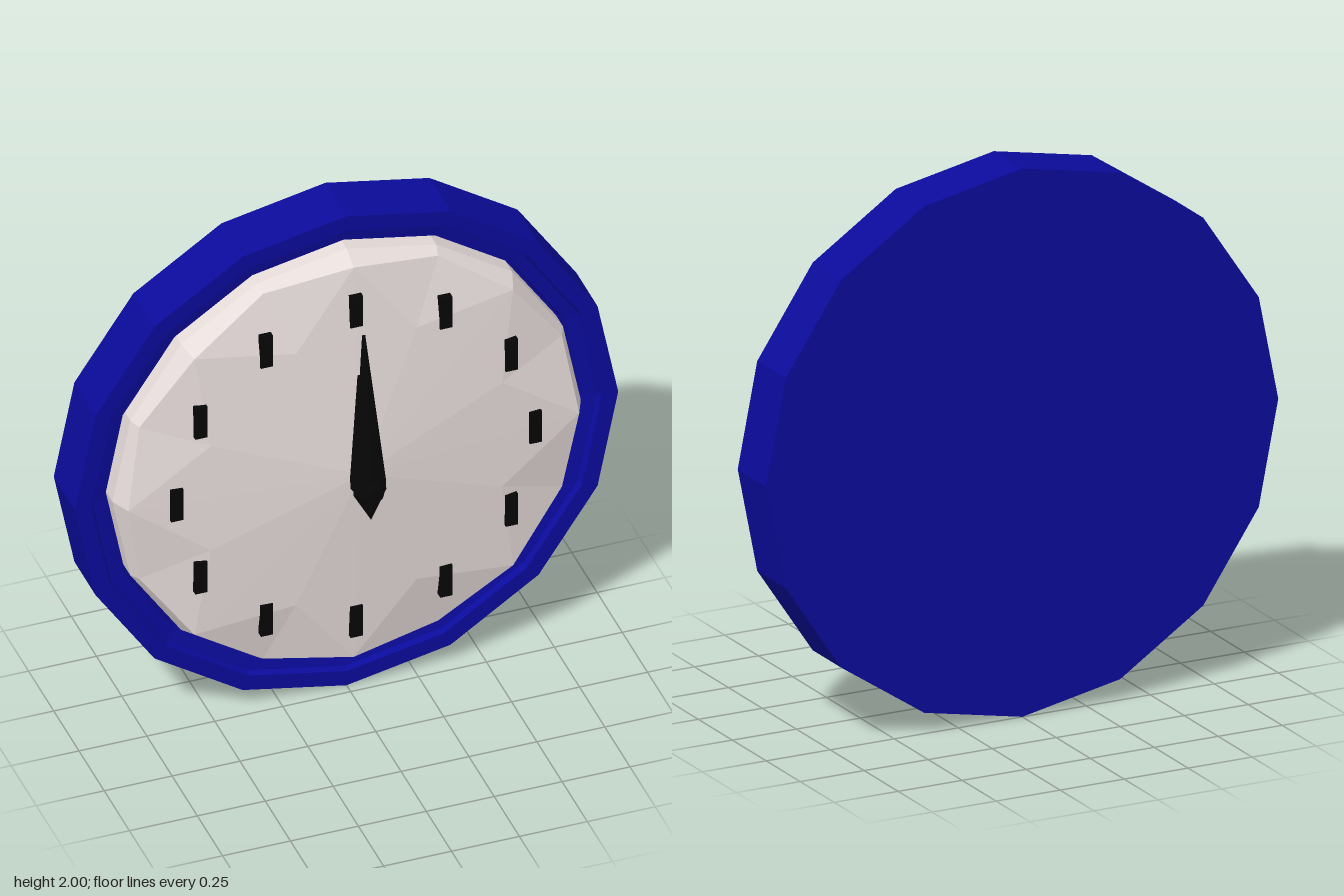
import * as THREE from 'three';

const SIDES = 16;
const material = (color) => new THREE.MeshStandardMaterial({ color, flatShading: true });

// Lathe turned so that its axis points forward (+z); profile is [radius, z]
function turned(profile, sides) {
  const points = profile.map(([r, z]) => new THREE.Vector2(r, z));
  return new THREE.LatheGeometry(points, sides).rotateX(Math.PI / 2);
}

// Faceted dial: ridges on the even spokes, kinked and lowered edges on the odd ones
function dialGeometry() {
  const positions = [];
  const centre = [0, 0, 0.11];
  const at = (i, r, z) => {
    const a = (i / SIDES) * Math.PI * 2;
    return [Math.sin(a) * r, Math.cos(a) * r, z];
  };
  for (let i = 0; i < SIDES; i += 2) {
    for (const step of [1, -1]) {
      const odd = i + step;
      const ridge = at(i, 0.83, 0.032);
      const kink = at(odd, 0.58, 0.058);
      const edge = at(odd, 0.842, 0.0);
      const footA = at(i, 0.862, -0.04), footB = at(odd, 0.862, -0.04);
      const deepA = at(i, 0.862, -0.12), deepB = at(odd, 0.862, -0.12);
      const faces = [
        [centre, kink, ridge], [ridge, kink, edge],
        [ridge, edge, footB], [ridge, footB, footA],
        [footA, footB, deepB], [footA, deepB, deepA],
      ];
      for (const [a, b, c] of faces) {
        positions.push(...a, ...(step > 0 ? c : b), ...(step > 0 ? b : c));
      }
    }
  }
  // Keep every triangle facing outwards from a point behind the dial
  const inside = new THREE.Vector3(0, 0, -0.5);
  const p = [0, 1, 2].map(() => new THREE.Vector3());
  const tri = new THREE.Triangle();
  const normal = new THREE.Vector3();
  for (let i = 0; i < positions.length; i += 9) {
    p.forEach((v, k) => v.fromArray(positions, i + k * 3));
    tri.set(...p).getNormal(normal);
    if (normal.dot(p[0].clone().sub(inside)) < 0) {
      p[2].toArray(positions, i + 3);
      p[1].toArray(positions, i + 6);
    }
  }
  const geometry = new THREE.BufferGeometry();
  geometry.setAttribute('position', new THREE.Float32BufferAttribute(positions, 3));
  geometry.computeVertexNormals();
  return geometry;
}

// Tapered hand with a short pointed tail, wide at the pivot
function handGeometry(length, tail, width) {
  const profile = [[0, -tail], [width, -0.02], [width, 0.02], [0.006, length], [0, length]];
  return new THREE.LatheGeometry(profile.map(([r, y]) => new THREE.Vector2(r, y)), 8)
    .scale(1, 1, 0.55);
}

export function createModel() {
  const clock = new THREE.Group();
  clock.name = 'wallClock';
  const blue = material(0x0b0b9c);
  const white = material(0xe6dcda);
  const black = material(0x060606);

  const add = (name, geometry, mat, x, y, z) => {
    const mesh = new THREE.Mesh(geometry, mat);
    mesh.name = name;
    mesh.position.set(x, y, z);
    clock.add(mesh);
    return mesh;
  };

  // Case with a stepped front rim
  add('case', turned([
    [0, -0.25], [1, -0.25], [1, -0.04], [0.94, -0.04],
    [0.93, -0.06], [0.88, -0.07], [0.87, -0.11], [0, -0.11],
  ], SIDES), blue, 0, 1, 0);

  add('dial', dialGeometry(), white, 0, 1, 0);

  // Plain upright hour markers
  const marker = new THREE.BoxGeometry(0.045, 0.13, 0.025);
  for (let hour = 0; hour < 12; hour++) {
    const a = (hour / 12) * Math.PI * 2;
    add('hourMarker', marker, black, Math.sin(a) * 0.66, 1 + Math.cos(a) * 0.66, 0.048);
  }

  // Centre pin
  add('centrePin', turned([
    [0, 0.08], [0.035, 0.1], [0.035, 0.24], [0.028, 0.25], [0, 0.25],
  ], 12), black, 0, 1, 0);

  // Hands, both leaning towards the dial
  add('hourHand', handGeometry(0.41, 0.1, 0.055), black, 0, 1, 0.145).rotation.x = -0.15;
  add('minuteHand', handGeometry(0.61, 0.13, 0.06), black, 0, 1, 0.19).rotation.x = -0.1;

  return clock;
}
